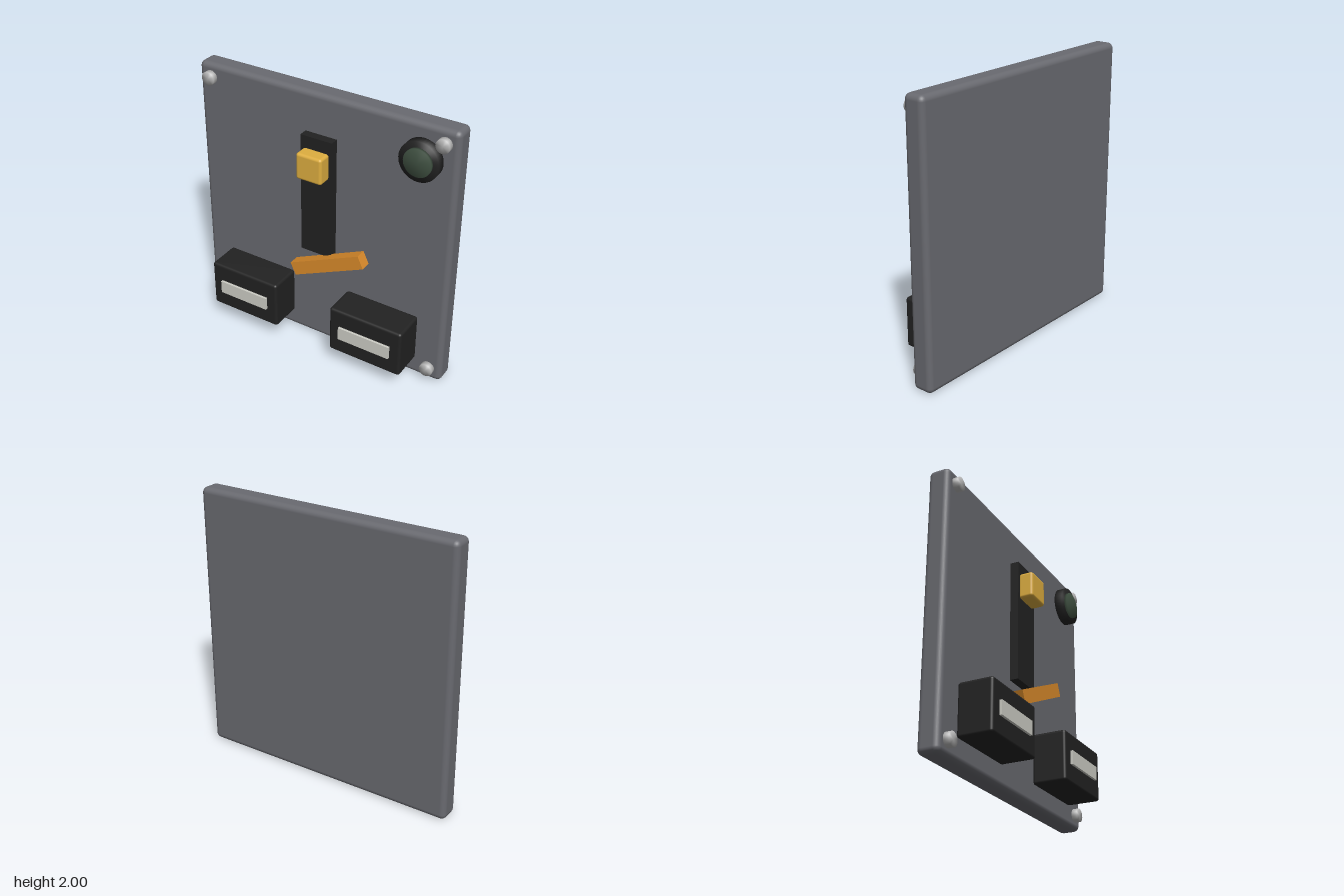
import * as THREE from 'three';
import { RoundedBoxGeometry } from 'three/addons/geometries/RoundedBoxGeometry.js';
import { mergeVertices } from 'three/addons/utils/BufferGeometryUtils.js';

const FACE = -0.053; // z of the panel's front surface

const paint = (color) => new THREE.MeshStandardMaterial({ color });
const steel = paint(0x696a70);
const black = paint(0x222222);
const yellow = paint(0xdeae40);
const orange = paint(0xda8b2b);
const ivory = paint(0xcdcdc5);
const silver = paint(0xb4b4b4);
const green = paint(0x405142);

export function createModel() {
  const model = new THREE.Group();

  const add = (name, geometry, material, x, y, z) => {
    const mesh = new THREE.Mesh(geometry, material);
    mesh.name = name;
    mesh.position.set(x, y, z);
    model.add(mesh);
    return mesh;
  };

  // Boxes and discs are given by their back and front z
  const box = (name, material, x, y, w, h, z0, z1, radius = 0) => {
    const d = z1 - z0;
    const geometry = radius
      ? new RoundedBoxGeometry(w, h, d, 3, radius)
      : new THREE.BoxGeometry(w, h, d);
    return add(name, geometry, material, x, y, (z0 + z1) / 2);
  };

  // Disc facing +z with normals blended over its rim
  const disc = (name, material, x, y, radius, z0, z1) => {
    let geometry = new THREE.CylinderGeometry(radius, radius, z1 - z0, 40);
    geometry.rotateX(Math.PI / 2);
    geometry.deleteAttribute('normal');
    geometry.deleteAttribute('uv');
    geometry = mergeVertices(geometry);
    geometry.computeVertexNormals();
    return add(name, geometry, material, x, y, (z0 + z1) / 2);
  };

  // Backing panel
  box('panel', steel, 0, 1, 2, 2, -0.212, FACE, 0.04);

  // Corner rivets
  for (const x of [-0.9, 0.9])
    for (const y of [0.1, 1.9]) disc('rivet', silver, x, y, 0.05, FACE - 0.01, -0.012);

  // Slider track and its knob
  box('sliderTrack', black, 0, 1.247, 0.245, 0.915, FACE - 0.01, 0.01);
  box('sliderKnob', yellow, 0, 1.517, 0.2, 0.197, 0.0, 0.11, 0.02);

  // Tilted lever bar
  const lever = box('lever', orange, 0.12, 0.76, 0.61, 0.1, -0.007, 0.073);
  lever.rotation.z = 0.44;

  // Indicator lamp
  disc('lampHousing', black, 0.755, 1.76, 0.143, FACE - 0.01, 0.01);
  disc('lampLens', green, 0.755, 1.76, 0.1, 0.0, 0.03);

  // Two lower housings with pale label strips
  for (const side of [-1, 1]) {
    box('switchHousing', black, side * 0.512, 0.33, 0.57, 0.366, FACE - 0.005, 0.194, 0.02);
    box('labelStrip', ivory, side * 0.512, 0.33, 0.405, 0.1, 0.18, 0.212);
  }

  return model;
}
